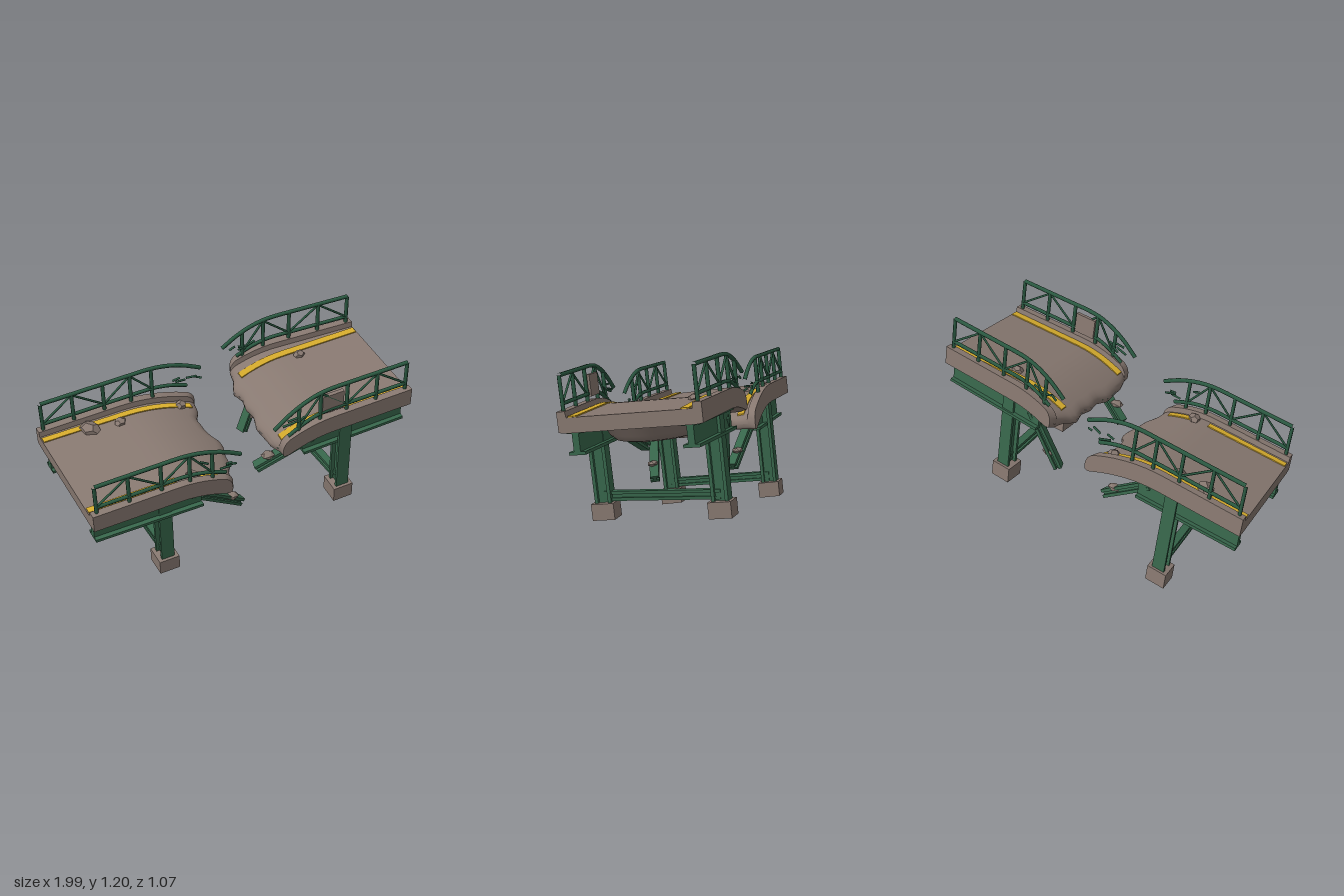
import * as THREE from 'three';
import { toCreasedNormals } from 'three/addons/utils/BufferGeometryUtils.js';

const V = (x, y, z) => new THREE.Vector3(x, y, z);

export function createModel() {
  const model = new THREE.Group();
  const mat = (name, color) => {
    const m = new THREE.MeshStandardMaterial({ color });
    m.name = name;
    return m;
  };
  const concrete = mat('concrete', 0x877870);
  const green = mat('girder green', 0x37664b);
  const railGreen = mat('railing green', 0x2b5a42);
  const yellow = mat('lane yellow', 0xd4aa2c);

  let seed = 7;
  const rnd = () => (seed = (seed * 16807) % 2147483647) / 2147483647;

  // One broken span. Local x runs to the break, y is up, z is across.
  function buildSpan(name, p) {
    const span = new THREE.Group();
    span.name = name;
    model.add(span);
    const frame = new THREE.Matrix4().makeBasis(p.along, p.up, p.across).setPosition(p.origin);
    // the span widens a little towards the break
    const add = (part, geo, material) => {
      const q = geo.attributes.position;
      for (let i = 0; i < q.count; i++) q.setZ(i, q.getZ(i) * (1 + p.flare * q.getX(i)));
      const mesh = new THREE.Mesh(geo.applyMatrix4(frame), material);
      mesh.name = part;
      span.add(mesh);
    };
    const h = p.half;
    // share of the way across, 0 to 1
    const across = (v) => THREE.MathUtils.clamp((v + h) / (2 * h), 0, 1);
    const sag = (u, k, start = 0.45) => -k * Math.max(0, u - start) ** 2;
    const drop = (u, v) => sag(u, THREE.MathUtils.lerp(p.sag[1], p.sag[0], across(v)));

    // length of the span at a given place across it
    const edge = (v) => {
      const t = across(v) * (p.edge.length - 1);
      const i = Math.min(Math.floor(t), p.edge.length - 2);
      return THREE.MathUtils.lerp(p.edge[i], p.edge[i + 1], t - i) + 0.006 * Math.sin(v * 45);
    };

    const box = (part, w, hh, d, x, y, z, material) =>
      add(part, new THREE.BoxGeometry(w, hh, d).translate(x, y, z), material);

    // I-shaped beam between two local points
    const beam = (part, a, b, width, depth, material) => {
      const f = 0.016, s = new THREE.Shape();
      const w = width / 2, d = depth / 2, web = width * 0.2;
      [[-w, -d], [w, -d], [w, -d + f], [web, -d + f], [web, d - f], [w, d - f], [w, d],
        [-w, d], [-w, d - f], [-web, d - f], [-web, -d + f], [-w, -d + f]]
        .forEach(([x, y], i) => (i ? s.lineTo(x, y) : s.moveTo(x, y)));
      const dir = b.clone().sub(a);
      const geo = new THREE.ExtrudeGeometry(s, { depth: dir.length(), bevelEnabled: false });
      const z = dir.clone().normalize();
      const x = Math.abs(z.y) > 0.9 ? V(1, 0, 0) : V(0, 1, 0).cross(z).normalize();
      const y = z.clone().cross(x).normalize();
      x.crossVectors(y, z);
      geo.applyMatrix4(new THREE.Matrix4().makeBasis(x, y, z).setPosition(a));
      add(part, geo, material);
    };
    const rod = (part, pts, r, material = railGreen) => {
      const curve = pts.length > 2 ? new THREE.CatmullRomCurve3(pts) : new THREE.LineCurve3(...pts);
      add(part, new THREE.TubeGeometry(curve, pts.length > 2 ? 24 : 1, r, 6), material);
    };

    // Deck: cross-section with curbs swept to the ragged end and rounded off there
    const ring = [[-h, -0.1], [-h, 0], [-h + 0.04, 0], [-h + 0.045, -0.03]];
    const n = 20, inner = h - 0.045;
    for (let i = 1; i < n; i++) ring.push([-inner + (2 * inner * i) / n, -0.03]);
    ring.push([inner, -0.03], [h - 0.04, 0], [h, 0], [h, -0.1]);
    for (let i = 1; i < n; i++) ring.push([h - (2 * h * i) / n, -0.105]);
    const nose = 0.045, pos = [], index = [];
    const addRow = (place, thick) => ring.forEach(([v, w]) => {
      const u = place(edge(v));
      pos.push(u, -0.06 + (w + 0.06) * thick + drop(u, v), v);
    });
    addRow(() => 0, 0);
    for (let i = 0; i <= 14; i++) addRow((e) => (i / 14) * (e - nose), 1);
    for (let j = 1; j <= 6; j++) {
      const a = (j / 6) * Math.PI / 2;
      addRow((e) => e - nose + nose * Math.sin(a), j < 6 ? Math.cos(a) ** 0.7 : 0);
    }
    const m = ring.length, total = pos.length / 3 / m;
    for (let j = 0; j < total - 1; j++) {
      for (let i = 0; i < m; i++) {
        const a = j * m + i, b = j * m + ((i + 1) % m), c = a + m, d = b + m;
        index.push(a, b, c, b, d, c);
      }
    }
    const deck = new THREE.BufferGeometry();
    deck.setAttribute('position', new THREE.Float32BufferAttribute(pos, 3));
    deck.setIndex(index);
    add('deck', toCreasedNormals(deck, 0.7), concrete);

    // Rounded swelling under the deck
    const bowl = [[0, -0.205], [0.15, -0.205], [0.19, -0.195], [0.22, -0.165], [0.24, -0.12], [0.27, -0.09]];
    add('underside bowl', new THREE.LatheGeometry(bowl.map(([x, y]) => new THREE.Vector2(x, y)), 40)
      .translate(0.38, 0, 0), concrete);

    // Lane stripes follow the sag; the inset from the edge may change along them
    p.stripes.forEach(([side, from, to, inset, drift]) => {
      const geo = new THREE.BoxGeometry(to - from, 0.008, p.stripeWidth, 16, 1, 1)
        .translate((from + to) / 2, -0.028, side * (h - inset));
      const q = geo.attributes.position;
      for (let i = 0; i < q.count; i++) {
        const u = q.getX(i), v = q.getZ(i) - side * drift * u;
        q.setXYZ(i, u, q.getY(i) + drop(u, v), v);
      }
      add('lane stripe', geo, yellow);
    });

    // Legs, feet and the tie between them
    const ties = p.legs.map(([u, v, foot]) => {
      beam('leg', V(u, foot + 0.05, v), V(u, -0.1, v), 0.07, 0.08, green);
      box('foot', 0.11, 0.085, 0.11, u, foot + 0.015, v, concrete);
      return V(u, foot + 0.09, v);
    });
    beam('leg tie', ties[0], ties[1], 0.04, 0.05, green);

    [1, -1].forEach((side, k) => {
      // Girder and its hanging broken end
      const g = side * 0.27, tip = p.tips[k];
      beam('girder', V(0.02, -0.155, g), V(0.6, -0.165, g), 0.08, p.girder, green);
      beam('broken girder end', V(0.54, -0.15, g), V(tip[0], tip[1], g - side * 0.07), 0.045, 0.045, green);
      add('broken chunk', new THREE.IcosahedronGeometry(0.03, 0).scale(1.3, 0.6, 1)
        .translate(tip[0] - 0.06, tip[1] + 0.08, g - side * 0.05), concrete);

      // Railing: bent rails, posts and diagonals
      const v = side * (h - 0.025);
      const end = edge(v) + 0.04;
      const at = (u, w) => V(u, w + sag(u, ...p.railSag[k]), v);
      const rail = (w, to) => Array.from({ length: 10 }, (_, i) => at(0.03 + ((to - 0.03) * i) / 9, w));
      rod('top rail', rail(0.17, end), 0.011);
      rod('bottom rail', rail(0.035, end - 0.08), 0.01);
      const posts = [0.03, 0.2, 0.37, 0.52, 0.64];
      posts.forEach((u, i) => {
        rod('railing post', [V(u, -0.02 + drop(u, v), v), at(u, 0.17)], 0.01);
        if (i) {
          const up = i % 2;
          rod('railing brace', [at(posts[i - 1], up ? 0.035 : 0.165), at(u, up ? 0.165 : 0.035)], 0.006);
        }
      });

      // Torn scraps of railing near the break
      for (let i = 0; i < 4; i++) {
        const a = at(end - 0.22 + rnd() * 0.2, 0.02 + rnd() * 0.1);
        const b = a.clone().add(V(0.03 + rnd() * 0.04, -0.03 + rnd() * 0.04, (rnd() - 0.5) * 0.04));
        rod('railing scrap', [a, b], 0.006);
      }
    });

    // Rubble lying on the deck
    p.rocks.forEach(([u, v, r, flat]) => add('rubble', new THREE.DodecahedronGeometry(r, 0)
      .scale(1.1, flat, 0.9).rotateY(u * 9).translate(u, -0.025 + drop(u, v), v), concrete));

    if (p.panel) box('railing panel', 0.12, 0.11, 0.02, p.panel, 0.075, -(h - 0.03), concrete);
  }

  buildSpan('lower span', {
    origin: V(-0.875, 0.632, 0.173),
    along: V(1, 0.153, -0.2), up: V(-0.04, 1, 0.15), across: V(0.343, -0.168, 1),
    half: 0.355, flare: 0, sag: [0.88, 0.6], railSag: [[0.95, 0.45], [1, 0.6]], girder: 0.15,
    edge: [0.89, 0.86, 0.82, 0.81, 0.855, 0.84, 0.81, 0.77, 0.74],
    legs: [[0.4, 0.25, -0.608], [0.395, -0.29, -0.625]],
    stripeWidth: 0.034,
    stripes: [[1, 0.005, 0.47, 0.08, 0], [1, 0.56, 0.71, 0.08, 0], [-1, 0.005, 0.83, 0.075, 0.01]],
    tips: [[0.86, -0.42], [0.82, -0.4]],
    rocks: [[0.25, -0.25, 0.052, 0.7], [0.41, -0.23, 0.033, 0.5], [0.77, -0.27, 0.032, 0.8], [0.56, 0.28, 0.038, 0.6]],
  });

  buildSpan('upper span', {
    origin: V(0.9025, 0.98, -0.185),
    along: V(-1, -0.13, 0.192), up: V(-0.04, 1, 0.145), across: V(-0.257, 0.147, -1),
    half: 0.34, flare: 0.11, sag: [0.85, 0.85], railSag: [[1.3, 0.45], [1.4, 0.45]], girder: 0.12,
    edge: [0.74, 0.75, 0.77, 0.76, 0.75, 0.75, 0.755, 0.73, 0.7],
    legs: [[0.375, -0.292, -0.578], [0.405, 0.26, -0.607]],
    stripeWidth: 0.04,
    stripes: [[1, 0.005, 0.7, 0.08, 0.06], [-1, 0.005, 0.72, 0.07, 0]],
    tips: [[0.7, -0.46], [0.82, -0.32]],
    rocks: [[0.37, 0.19, 0.03, 0.8]],
    panel: 0.45,
  });

  return model;
}
